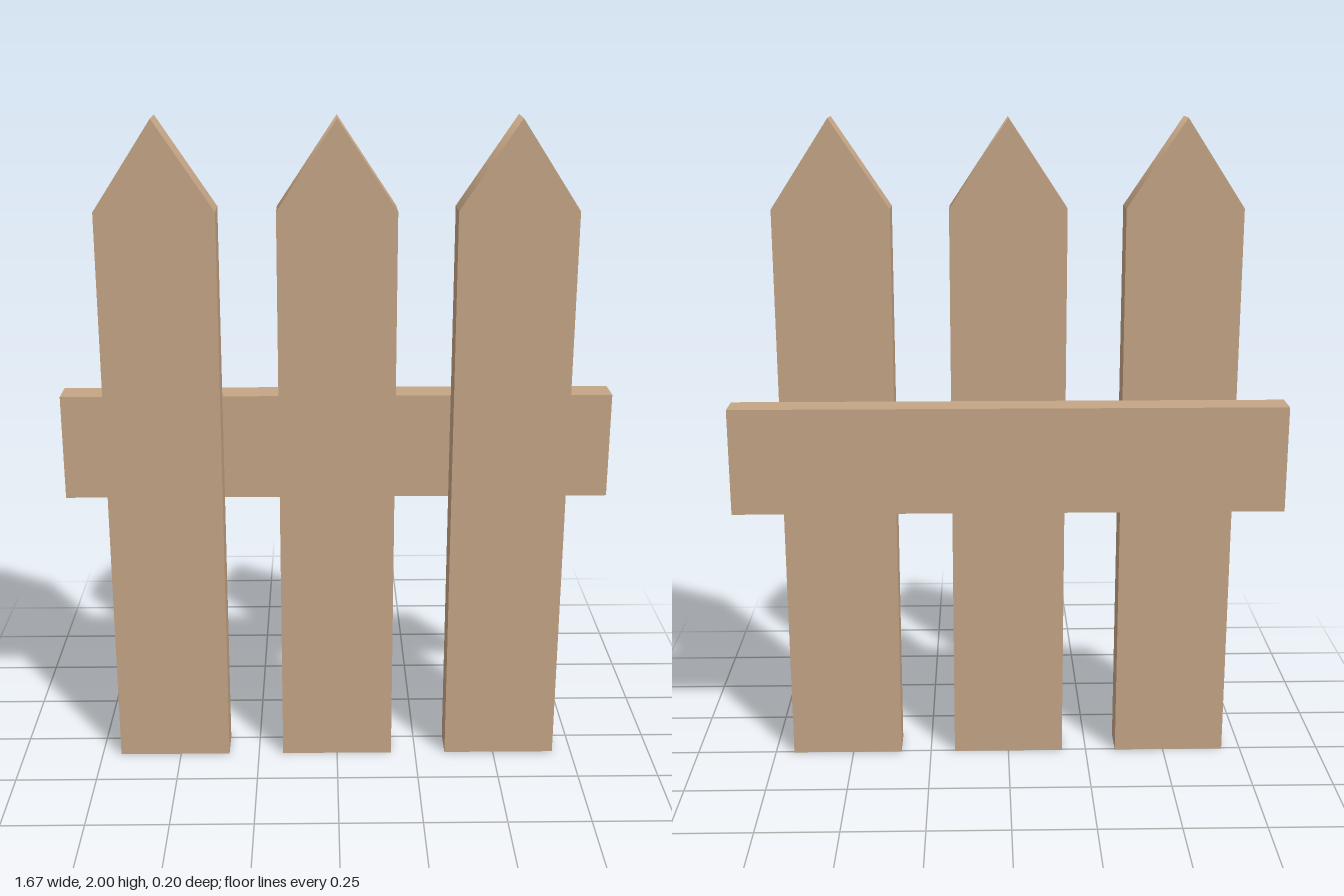
import * as THREE from 'three';

const PICKET = { halfWidth: 0.173, shoulder: 1.74, height: 2, back: -0.005, front: 0.1 };
const RAIL = { halfWidth: 0.835, bottom: 0.84, top: 1.165, back: -0.1, front: -0.005 };

// Pointed board, with shading that rolls softly over the tip
function picketGeometry() {
  const { halfWidth: w, shoulder, height, back, front } = PICKET;
  const outline = new THREE.Shape([
    new THREE.Vector2(-w, 0),
    new THREE.Vector2(w, 0),
    new THREE.Vector2(w, shoulder),
    new THREE.Vector2(0, height),
    new THREE.Vector2(-w, shoulder),
  ]);
  const geometry = new THREE.ExtrudeGeometry(outline, { depth: front - back, bevelEnabled: false });
  geometry.translate(0, 0, back);
  const { position, normal } = geometry.attributes;
  for (let i = 0; i < position.count; i++) {
    const atTip = position.getY(i) > height - 0.001;
    if (atTip && Math.abs(normal.getZ(i)) < 0.5) normal.setXYZ(i, 0, 1, 0);
  }
  return geometry;
}

export function createModel() {
  const fence = new THREE.Group();
  fence.name = 'picketFence';
  const wood = new THREE.MeshStandardMaterial({ color: 0xc4a484 });
  wood.name = 'light wood';

  // Three upright boards
  const board = picketGeometry();
  [['rightPicket', -0.518], ['middlePicket', 0], ['leftPicket', 0.518]].forEach(([name, x]) => {
    const picket = new THREE.Mesh(board, wood);
    picket.name = name;
    picket.position.x = x;
    fence.add(picket);
  });

  // Cross rail behind the boards
  const rail = new THREE.Mesh(
    new THREE.BoxGeometry(RAIL.halfWidth * 2, RAIL.top - RAIL.bottom, RAIL.front - RAIL.back),
    wood
  );
  rail.name = 'rail';
  rail.position.set(0, (RAIL.top + RAIL.bottom) / 2, (RAIL.front + RAIL.back) / 2);
  fence.add(rail);

  return fence;
}
